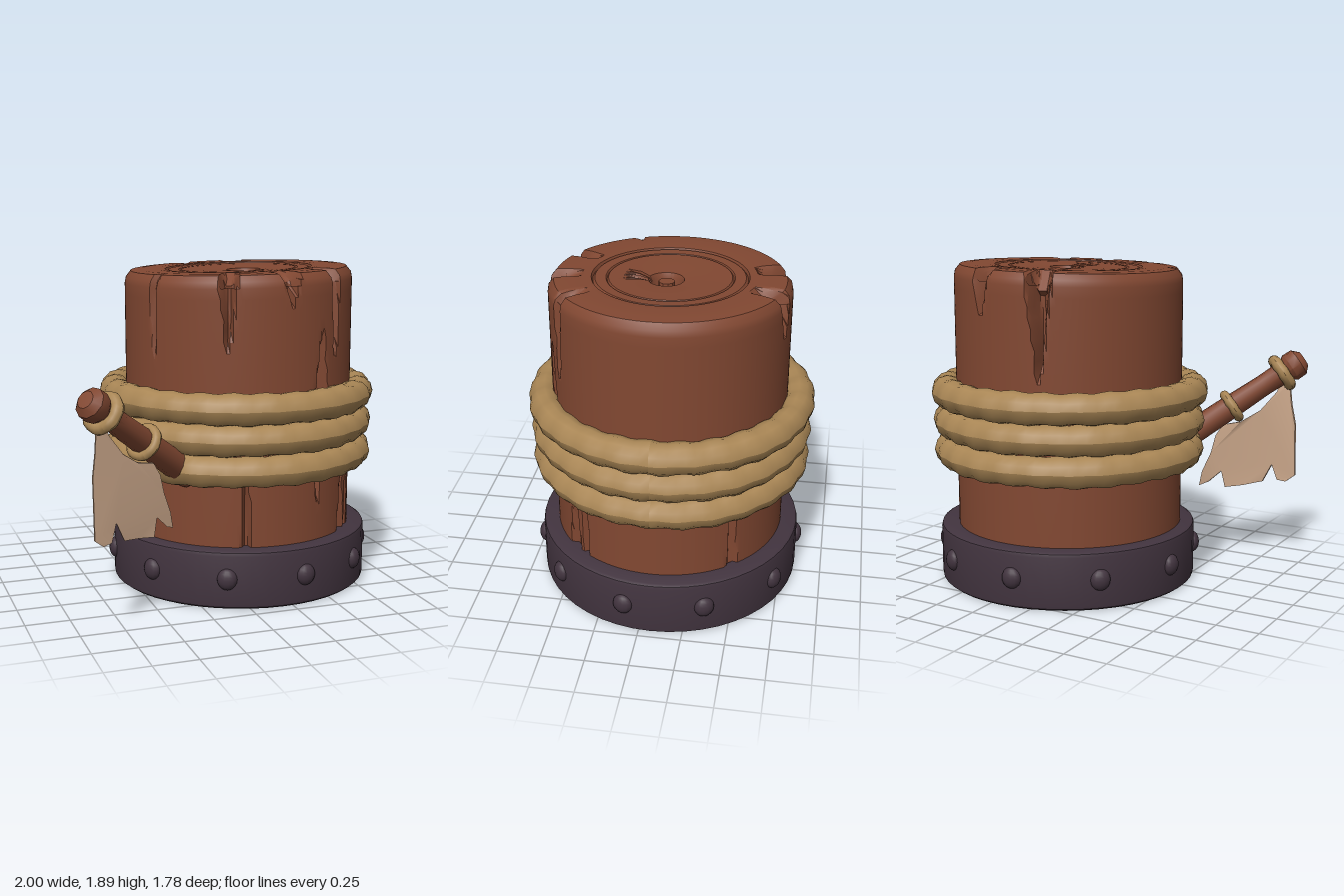
import * as THREE from 'three';
import { toCreasedNormals } from 'three/addons/utils/BufferGeometryUtils.js';

const CX = 0.185, CZ = -0.065;
const rad = THREE.MathUtils.degToRad, clamp = THREE.MathUtils.clamp;
const material = (name, color, extra = {}) => {
  const m = new THREE.MeshStandardMaterial({ color, ...extra });
  m.name = name;
  return m;
};

// Lathe from [radius, height] pairs
const lathe = (pairs, segments) =>
  new THREE.LatheGeometry(pairs.map(([r, y]) => new THREE.Vector2(r, y)), segments);

// Move every vertex by a rule
function warp(geo, rule) {
  const p = geo.attributes.position, v = new THREE.Vector3();
  for (let i = 0; i < p.count; i++) {
    rule(v.fromBufferAttribute(p, i));
    p.setXYZ(i, v.x, v.y, v.z);
  }
  geo.computeVertexNormals();
  return geo;
}

// Wood splits: angle, half width (degrees), wide-end height, tip height, depth, cut into the top
const CRACKS = [
  [-25, 5, 1.88, 1.42, 0.07, 0.1], [6, 6, 1.88, 1.7, 0.06, 0.09],
  [35, 4, 1.88, 1.32, 0.05, 0.06], [-65, 2.5, 1.88, 1.3, 0.04, 0],
  [-163, 7, 1.88, 1.25, 0.13, 0.16], [164, 6, 1.88, 1.6, 0.12, 0.14],
  [25, 5, 1.15, 1.55, 0.06, 0], [-16, 2.5, 0.3, 0.9, 0.05, 0],
  [45, 5, 0.3, 0.75, 0.04, 0], [22, 2.5, 0.9, 0.5, 0.04, 0],
  [130, 3, 0.3, 1, 0.05, 0], [53, 2.5, 0.3, 0.85, 0.03, 0],
];

function logGeometry() {
  const profile = [];
  for (let i = 0; i <= 25; i++) profile.push([0.675, 0.3 + i * 0.06]);
  profile.push([0.668, 1.835], [0.64, 1.87], [0.58, 1.875], [0.53, 1.875], [0.48, 1.875],
    [0.435, 1.872], [0.427, 1.855], [0.415, 1.868], [0.355, 1.866], [0.348, 1.857], [0.34, 1.866],
    [0.26, 1.865], [0.18, 1.862], [0.1, 1.858], [0.088, 1.83], [0.08, 1.7], [0, 1.7]);
  const geo = warp(lathe(profile, 240), v => {
    const a = Math.atan2(v.x, v.z), r0 = Math.hypot(v.x, v.z), y0 = v.y;
    let r = r0, y = y0;
    if (y0 > 1.7) y += 0.026 * (v.x - 0.05);
    if (r0 > 0.46) {
      for (const [deg, w, wide, tip, depth, cut] of CRACKS) {
        const t = (y0 - tip) / (wide - tip);
        if (t <= 0 || t > 1.3) continue;
        const d = rad(deg) - a, da = Math.abs(Math.atan2(Math.sin(d), Math.cos(d)));
        const f = clamp(1.6 * (1 - da / (rad(w) * Math.min(t, 1))), 0, 1);
        if (r0 > 0.6) r -= depth * f;
        if (y0 > 1.82) y -= cut * f * clamp((r0 - 0.48) / 0.15, 0, 1);
      }
    } else if (r0 > 0.09 && r0 < 0.24 && Math.abs(a) < 0.3) {
      y -= 0.025 * Math.abs(Math.sin(a * 16)); // splinters beside the core hole
    }
    const s = r0 < 0.15 ? 1 : 0;
    v.set(r * Math.sin(a) + 0.025 * s, y, r * Math.cos(a) + 0.02 * s);
  });
  return toCreasedNormals(geo, 0.5);
}

// Slightly lumpy twisted rope loop lying flat
function ropeGeometry(R, r, phase, lumps) {
  const geo = new THREE.TorusGeometry(R, r, 12, lumps * 4).rotateX(Math.PI / 2);
  return warp(geo, v => {
    const a = Math.atan2(v.x, v.z), d = Math.hypot(v.x, v.z) - R;
    const b = Math.atan2(v.y, d);
    const k = 1 + 0.06 * Math.sin(lumps * a + b + phase) + 0.025 * Math.sin(7 * a + phase * 3);
    v.set((R + d * k) * Math.sin(a), v.y * k, (R + d * k) * Math.cos(a));
  });
}

export function createModel() {
  const wood = material('brown wood', 0x824832);
  const rope = material('tan rope', 0xa98655);
  const iron = material('dark iron', 0x42343f);
  const linen = material('pale cloth', 0xcda98c, { side: THREE.DoubleSide });

  const model = new THREE.Group();
  model.name = 'post';
  const add = (name, geo, mat, parent = model) => {
    const mesh = new THREE.Mesh(geo, mat);
    mesh.name = name;
    parent.add(mesh);
    return mesh;
  };

  // Log with a core stub in its hole
  add('log', logGeometry(), wood).position.set(CX, 0, CZ);
  add('coreStub', toCreasedNormals(new THREE.CylinderGeometry(0.045, 0.055, 0.14, 10), 0.6), wood)
    .position.set(CX + 0.01, 1.77, CZ + 0.02);

  // Iron base with rivets
  const base = lathe([[0, 0], [0.752, 0], [0.767, 0.012], [0.77, 0.03], [0.77, 0.31],
    [0.765, 0.328], [0.75, 0.337], [0.64, 0.337]], 48);
  add('ironBase', toCreasedNormals(base, 0.6), iron).position.set(0.195, 0, -0.07);
  const rivet = new THREE.SphereGeometry(0.058, 14, 10).scale(1, 1.08, 0.7);
  for (const deg of [-60.5, -25, 9.7, 42, 78, 113, 150, 187, 225, 262]) {
    const a = rad(deg), m = add('rivet', rivet, iron);
    m.position.set(0.195 + 0.765 * Math.sin(a), 0.177, -0.07 + 0.765 * Math.cos(a));
    m.rotation.y = a;
  }

  // Three rope coils
  [[0.785, 0.716, 0.18], [0.962, 0.718, 0.18], [1.138, 0.732, 0.175]].forEach(([y, R, x], i) =>
    add('ropeCoil', ropeGeometry(R, 0.09, i * 1.7, 26), rope).position.set(x, y, -0.072));

  // Slanted handle: local y runs from the tip into the log
  const handle = new THREE.Group();
  handle.name = 'handle';
  handle.position.set(-0.965, 1.285, 0.825);
  handle.quaternion.setFromUnitVectors(new THREE.Vector3(0, 1, 0),
    new THREE.Vector3(0.58, -0.46, -0.37).normalize());
  model.add(handle);
  const shaft = lathe([[0, 0], [0.05, 0.003], [0.088, 0.04], [0.09, 0.1], [0.07, 0.13],
    [0.066, 0.3], [0.075, 0.6], [0.08, 0.98], [0, 0.98]], 10);
  add('handleShaft', toCreasedNormals(shaft, 0.7), wood, handle);
  add('handleRing', ropeGeometry(0.086, 0.036, 0, 7), rope, handle).position.y = 0.16;
  add('handleRing', ropeGeometry(0.08, 0.029, 1, 7), rope, handle).position.y = 0.53;

  // Torn cloth hanging under the handle
  const outline = [[-0.9, 1.13], [-0.91, 1], [-0.93, 0.87], [-0.93, 0.54], [-0.88, 0.5], [-0.83, 0.51],
    [-0.8, 0.61], [-0.75, 0.5], [-0.65, 0.48], [-0.55, 0.465], [-0.53, 0.57], [-0.46, 0.5], [-0.415, 0.48],
    [-0.43, 0.57], [-0.475, 0.69], [-0.5, 0.8], [-0.54, 0.87], [-0.64, 0.89], [-0.74, 0.96], [-0.83, 1.08],
    [-0.84, 1.13]];
  const shape = new THREE.Shape(outline.map(([x, y]) => new THREE.Vector2(x, y)));
  const cloth = warp(new THREE.ExtrudeGeometry(shape, { depth: 0.02, bevelEnabled: false }), v => {
    v.z += 0.755 - (v.x + 0.86) * 0.62 + (1.05 - v.y) * 0.06 + 0.012 * Math.sin(v.x * 22);
  });
  add('cloth', toCreasedNormals(cloth, 0.6), linen);

  return model;
}
